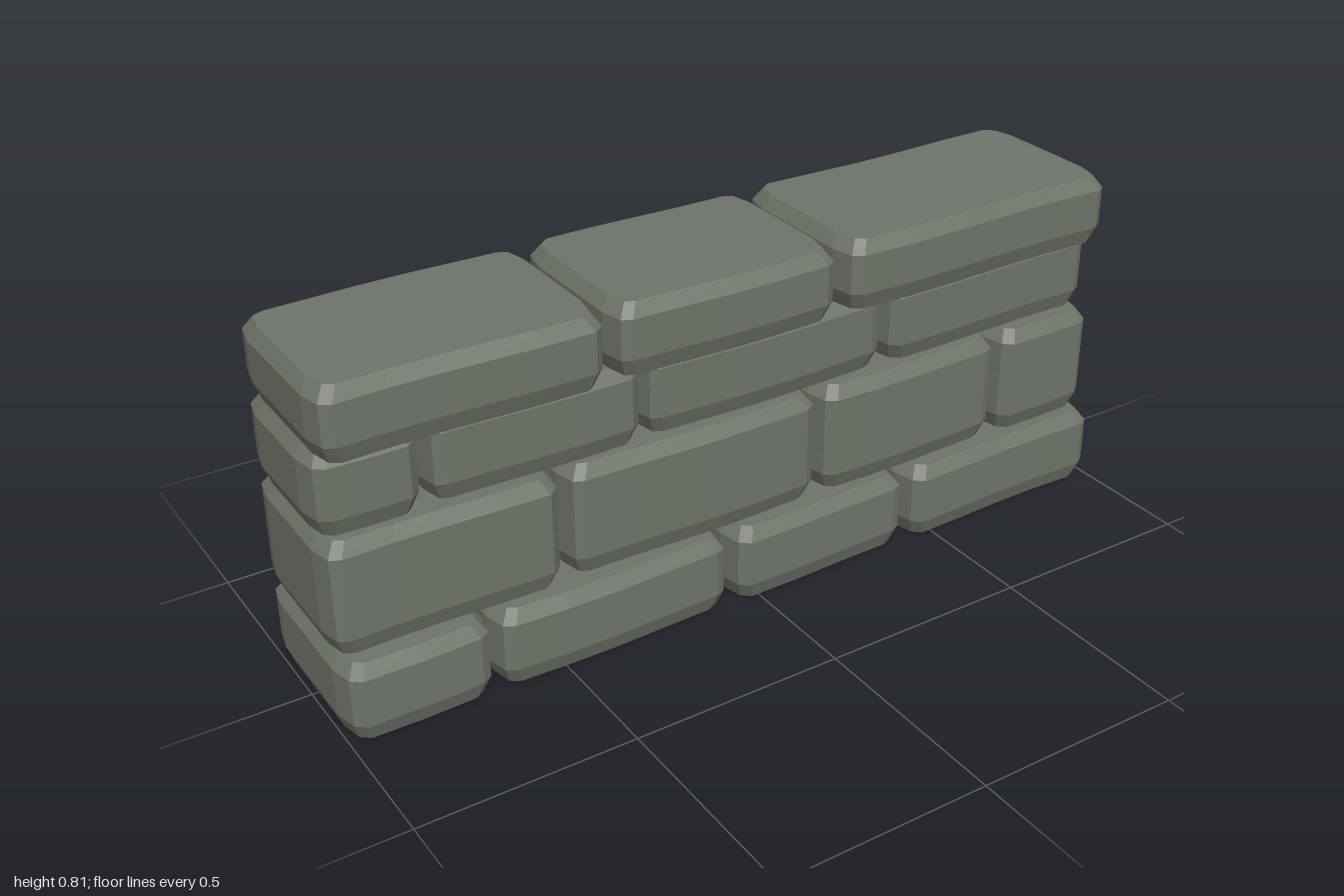
import * as THREE from 'three';

// Each course: bottom y, top y, front z, back z, and the x range of every stone
const COURSES = [
  { y0: 0, y1: 0.185, front: 0.22, back: -0.21,
    stones: [[-1, -0.665], [-0.655, -0.08], [-0.065, 0.415], [0.43, 1]] },
  { y0: 0.185, y1: 0.45, front: 0.18, back: -0.21,
    stones: [[-1, -0.47], [-0.455, 0.185], [0.195, 0.705], [0.715, 1]] },
  { y0: 0.45, y1: 0.64, front: 0.147, back: -0.21,
    stones: [[-1, -0.76], [-0.75, -0.25], [-0.245, 0.385], [0.395, 1]] },
  { y0: 0.64, y1: 0.805, front: 0.205, back: -0.218,
    stones: [[-0.995, -0.365], [-0.345, 0.21], [0.235, 0.99]] },
];

// Plan outline of a stone: bevelled corners, gently uneven long faces
function outline(x0, x1, front, back, seed) {
  const pts = [];
  const steps = Math.max(2, Math.round((x1 - x0) / 0.14));
  const dent = (x, k) => 0.005 * (1 + Math.sin(x * 9 + seed * 2.3 + k));
  const longFace = (from, to, z, sign, k) => {
    for (let i = 0; i <= steps; i++) {
      const x = from + (to - from) * i / steps;
      pts.push([x, z - sign * dent(x, k)]);
    }
  };
  longFace(x0 + 0.035, x1 - 0.035, front, 1, 0);
  pts.push([x1 - 0.012, front - 0.02], [x1, front - 0.075]);
  pts.push([x1, back + 0.075], [x1 - 0.012, back + 0.02]);
  longFace(x1 - 0.035, x0 + 0.035, back, -1, 2);
  pts.push([x0 + 0.012, back + 0.02], [x0, back + 0.075]);
  pts.push([x0, front - 0.075], [x0 + 0.012, front - 0.02]);
  return pts;
}

// Stack four inset copies of the outline and close both ends
function stoneGeometry(x0, x1, y0, y1, front, back, seed) {
  const ring = outline(x0, x1, front, back, seed);
  const n = ring.length;
  const cx = (x0 + x1) / 2, cz = (front + back) / 2;
  const hx = (x1 - x0) / 2, hz = (front - back) / 2;
  const levels = [[y0, 0.015], [y0 + 0.042, 0], [y1 - 0.03, 0], [y1, 0.02]];
  const position = [], index = [];
  for (const [y, inset] of levels) {
    for (const [x, z] of ring) {
      position.push(cx + (x - cx) * (1 - inset / hx), y, cz + (z - cz) * (1 - inset / hz));
    }
  }
  for (let l = 0; l < levels.length - 1; l++) {
    for (let i = 0; i < n; i++) {
      const a = l * n + i, b = l * n + (i + 1) % n;
      index.push(a, b, b + n, a, b + n, a + n);
    }
  }
  const bottom = levels.length * n, top = bottom + 1, last = (levels.length - 1) * n;
  position.push(cx, y0, cz, cx, y1, cz);
  for (let i = 0; i < n; i++) {
    const j = (i + 1) % n;
    index.push(bottom, j, i, top, last + i, last + j);
  }
  const indexed = new THREE.BufferGeometry();
  indexed.setAttribute('position', new THREE.Float32BufferAttribute(position, 3));
  indexed.setIndex(index);
  const geometry = indexed.toNonIndexed();
  geometry.computeVertexNormals();
  return geometry;
}

export function createModel() {
  const wall = new THREE.Group();
  wall.name = 'stoneWall';
  const stone = new THREE.MeshStandardMaterial({ color: 0x6e746a });
  stone.name = 'greyGreenStone';

  COURSES.forEach(({ y0, y1, front, back, stones }, c) => {
    const course = new THREE.Group();
    course.name = `course${c + 1}`;
    stones.forEach(([x0, x1], s) => {
      const mesh = new THREE.Mesh(stoneGeometry(x0, x1, y0, y1, front, back, c * 4 + s), stone);
      mesh.name = `stone${s + 1}`;
      course.add(mesh);
    });
    wall.add(course);
  });
  return wall;
}
